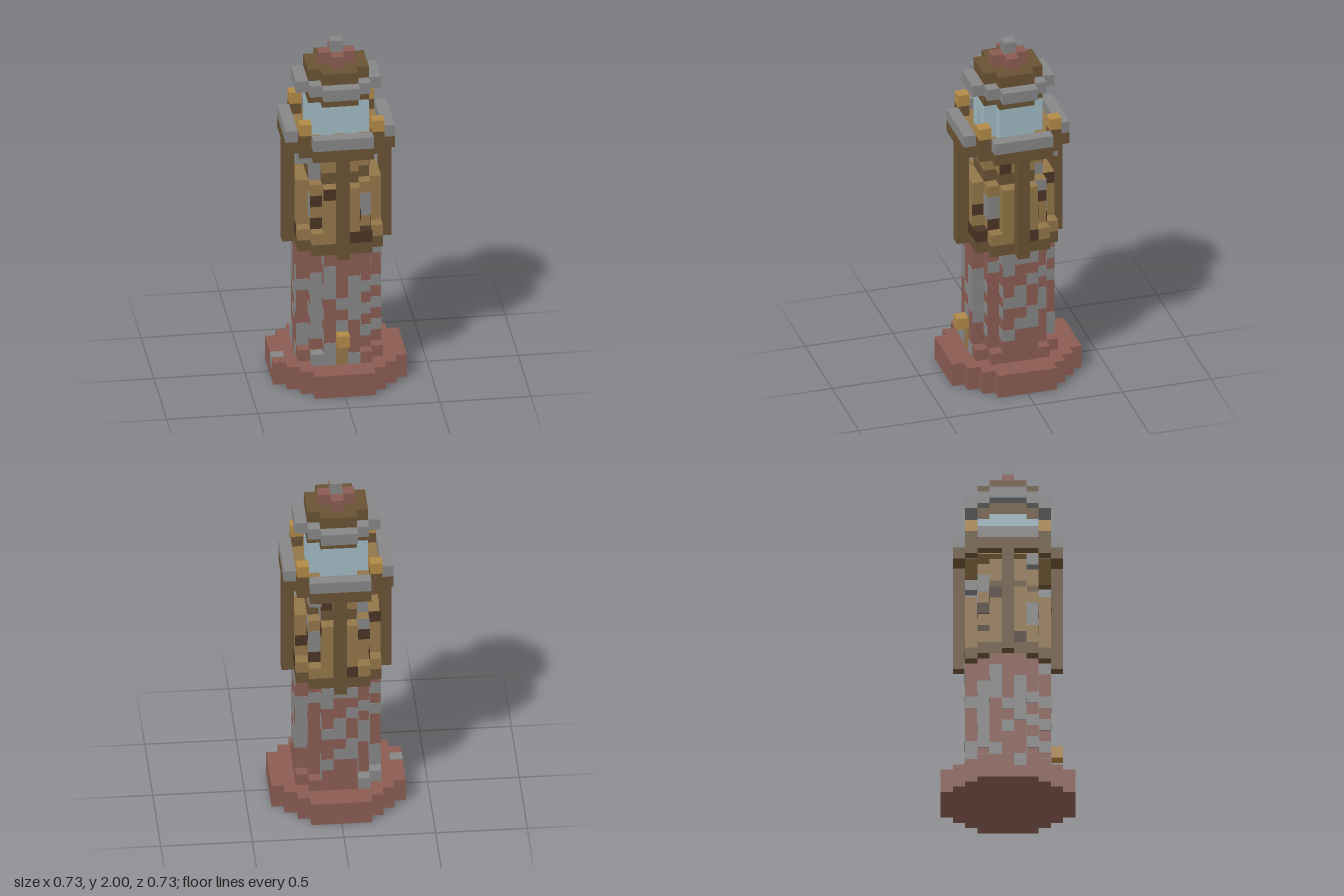
import * as THREE from 'three';
import { mergeGeometries } from 'three/addons/utils/BufferGeometryUtils.js';

const U = 1 / 15; // one block; all sizes below are in blocks

const mat = (name, color) => {
  const m = new THREE.MeshStandardMaterial({ color });
  m.name = name;
  return m;
};

// Stepped round outline: w[k] is the half width (in blocks) of the rows at distance k.
function outline(w) {
  const q = [];
  w.forEach((h, k) => {
    if (k > 0 && h !== w[k - 1]) q.push([h + 0.5, k - 0.5]);
    q.push([h + 0.5, k + 0.5]);
  });
  const r = [...q].reverse();
  const all = [
    ...q, ...r.map(([x, y]) => [-x, y]),
    ...q.map(([x, y]) => [-x, -y]), ...r.map(([x, y]) => [x, -y]),
  ];
  return new THREE.Shape(all.map(([x, y]) => new THREE.Vector2(x * U, y * U)));
}

export function createModel() {
  const model = new THREE.Group();
  model.name = 'tower';
  const rose = mat('rose brick', 0x8a5c52);
  const grey = mat('grey stone', 0x868686);
  const dark = mat('dark timber', 0x6a5234);
  const tan = mat('tan planks', 0x927648);
  const gold = mat('lamp gold', 0xb28946);
  const glass = mat('pale blue glass', 0x9fb9c2);
  const knot = mat('deep brown', 0x4a3524);

  const add = (name, geo, material) => {
    const mesh = new THREE.Mesh(geo, material);
    mesh.name = name;
    model.add(mesh);
    return mesh;
  };
  // Stepped round slab from layer y, h layers high
  const slab = (name, w, y, h, material) => {
    const g = new THREE.ExtrudeGeometry(outline(w), { depth: h * U, bevelEnabled: false });
    g.rotateX(-Math.PI / 2).translate(0, y * U, 0);
    return add(name, g, material);
  };
  // Box centred on block (x, z), standing on layer y
  const block = (name, x, y, z, material, sx = 1, sy = 1, sz = 1) => {
    const g = new THREE.BoxGeometry(sx * U, sy * U, sz * U);
    g.translate(x * U, (y + sy / 2) * U, z * U);
    return add(name, g, material);
  };
  // Thin plates on one side; rows run from the top layer down, letters pick the colour
  const paint = (name, side, top, depths, rows) => {
    const sets = { g: [], d: [] };
    const half = depths.length - 1;
    rows.forEach((row, i) => [...row].forEach((c, j) => {
      if (!sets[c]) return;
      const x = j - half;
      const g = new THREE.BoxGeometry(U, U, 0.006);
      g.translate(x * U, (top - i + 0.5) * U, depths[Math.abs(x)] * U);
      sets[c].push(g.rotateY(side * Math.PI / 2));
    }));
    if (sets.g.length) add(name + 'Stone', mergeGeometries(sets.g), grey);
    if (sets.d.length) add(name + 'Knots', mergeGeometries(sets.d), knot);
  };

  const R2 = [2, 2, 1], R3 = [3, 3, 2, 1], R3full = [3, 3, 3, 2];
  const D2 = [2.5, 2.5, 1.5], D3 = [3.5, 3.5, 2.5, 1.5];

  // Foot and brick shaft
  slab('base', [5, 5, 5, 4, 3, 2], 0, 2, rose);
  block('basePatch', -5, 1, 1, grey, 1.03, 1.03, 1);
  slab('shaft', R3, 2, 10, rose);
  for (const sx of [-1, 1]) for (const sz of [-1, 1]) {
    const m = (sx < 0 && sz < 0) ? grey : rose;
    block('footStone', 2 * sx, 2, 3 * sz, sx < 0 ? grey : m);
    block('footStone', 3 * sx, 2, 2 * sz, m);
  }
  const shaftFront = [
    '......g', '..g....', '.gg.g..', 'ggg.ggg', '.g.gg..',
    '.g..ggg', '.g.g...', 'gg...gg', 'g.g....', '.gg.g..',
  ];
  const shaftSide = [
    '..ggg..', '.gg...g', 'g...gg.', 'g..g..g', 'g.gg.g.',
    'g...gg.', 'g..gg..', '..g...g', '......g', '.......',
  ];
  paint('shaftFront', 0, 11, D3, shaftFront);
  paint('shaftRight', 1, 11, D3, shaftSide);
  paint('shaftBack', 2, 11, D3, shaftSide);
  paint('shaftLeft', 3, 11, D3, shaftFront);

  // Door and its lamp
  block('door', 0, 2, 3.05, tan, 1, 2, 1);
  block('doorLamp', 0, 4, 4, gold);

  // Timber storey
  slab('platform', R3full, 12, 1, dark);
  slab('lowerWalls', R3, 13, 5, tan);
  slab('beltBeam', R2, 18, 1, dark);
  slab('upperWalls', R2, 19, 2, tan);
  for (const sx of [-1, 1]) for (const sz of [-1, 1]) {
    block('cornerStud', 2 * sx, 13, 3 * sz, sx > 0 && sz > 0 ? knot : tan);
    block('cornerStud', 3 * sx, 13, 2 * sz, tan);
  }
  const wallFront = ['..d....', '.d...g.', '.....g.', '.d.....', '....d..'];
  const wallSide = ['.....gd', '.g...d.', 'dg.....', '.d.....', '...dd..'];
  [wallFront, wallSide, wallSide, wallFront].forEach((rows, s) => paint('lowerWall', s, 17, D3, rows));
  const upFront = ['g....', 'g....'], upSide = ['.d...', '....g'];
  [upFront, upSide, upSide, upFront].forEach((rows, s) => paint('upperWall', s, 19, D2, rows));
  block('bracket', -3, 20, 2, grey);
  block('bracket', 2, 20, -3, grey);

  // Four posts carrying the balcony, with railings
  for (const s of [-1, 1]) {
    block('post', 4 * s, 12, 0, dark, 1, 9, 1);
    block('post', 0, 12, 4 * s, dark, 1, 9, 1);
    block('railing', 4 * s, 22, 0, grey, 1, 1, 5);
    block('railing', 0, 22, 4 * s, grey, 5, 1, 1);
    for (const t of [-1, 1]) {
      block('railPost', 3 * s, 22, 3 * t, dark);
      block('railLamp', 3 * s, 23, 3 * t, gold);
    }
  }
  slab('balcony', [4, 4, 4, 3, 2], 21, 1, dark);
  slab('balconyFloor', R3full, 22, 0.06, tan);
  slab('balconyCeiling', R3full, 20.94, 0.06, tan);

  // Glazed room with a doorway in the front
  block('glassRoom', 0, 22, 0, glass, 5, 2, 3);
  block('glassBack', 0, 22, -2, glass, 3, 2, 1);
  for (const s of [-1, 1]) block('glassDoorSide', s, 22, 2, glass, 1, 2, 1);
  slab('glassTop', R2, 24, 1, glass);

  // Stepped roof
  slab('roofBeam', R2, 25, 1, dark);
  slab('eaves', R3, 26, 1, grey);
  slab('roof', R2, 27, 1, dark);
  slab('roofCap', [1, 0], 28, 1, rose);
  block('finial', 0, 29, 0, grey);

  return model;
}
